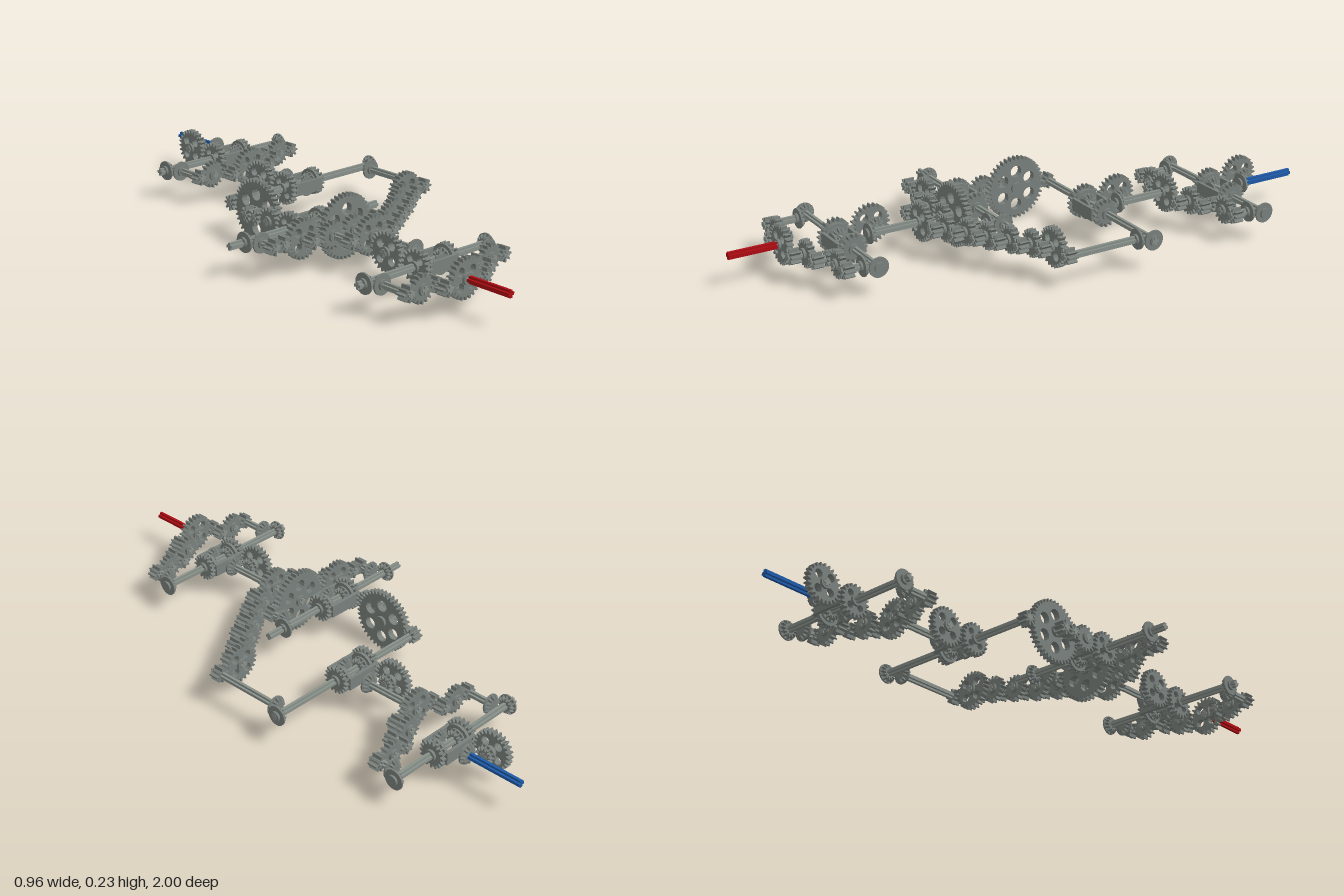
import * as THREE from 'three';

const Y = 0.1125;          // main shaft height
const LOW = 0.1;           // lowered shaft height in the end units
const K = 0.00268;         // pitch radius per tooth
const paint = color => new THREE.MeshStandardMaterial({ color, flatShading: true });
const gearGrey = paint(0x79807c);
const axleGrey = paint(0x88908a);
const red = paint(0xae0c12);
const blue = paint(0x1e5aa8);

function mesh(geo, name, mat = gearGrey) {
  const m = new THREE.Mesh(geo, mat);
  m.name = name;
  return m;
}

// Toothed outline, optionally with round lightening holes
function gearShape(teeth, holes) {
  const s = new THREE.Shape();
  const r = teeth * K, out = r + 0.0055, root = r - 0.0065, step = Math.PI * 2 / teeth;
  for (let i = 0; i < teeth; i++) {
    [[-0.32, root], [-0.13, out], [0.13, out], [0.32, root]].forEach(([f, q], j) => {
      const a = (i + f) * step;
      if (i + j === 0) s.moveTo(q * Math.cos(a), q * Math.sin(a));
      else s.lineTo(q * Math.cos(a), q * Math.sin(a));
    });
  }
  s.closePath();
  for (let i = 0; i < holes; i++) {
    const a = (i + 0.5) * Math.PI * 2 / holes;
    const h = new THREE.Path();
    h.absarc(r * 0.56 * Math.cos(a), r * 0.56 * Math.sin(a), r * (holes > 4 ? 0.2 : 0.24), 0, Math.PI * 2, true);
    s.holes.push(h);
  }
  return s;
}

function extrude(shape, depth) {
  const g = new THREE.ExtrudeGeometry(shape, { depth, bevelEnabled: false, curveSegments: 6 });
  return g.translate(0, 0, -depth / 2);
}

// Turn a local z axis into the wanted direction and move the part there
function place(o, axis, x, y, z) {
  o.rotation.y = { z: 0, '-z': Math.PI, x: Math.PI / 2, '-x': -Math.PI / 2 }[axis];
  o.position.set(x, y, z);
  return o;
}

function disc(r, length, z = 0, name = 'hub') {
  return mesh(new THREE.CylinderGeometry(r, r, length, 20).rotateX(Math.PI / 2).translate(0, 0, z), name);
}

// Spur gear: small ones are wide pinions, larger ones have a hub
function spurGear(teeth) {
  const g = new THREE.Group();
  g.name = 'spurGear' + teeth;
  const holes = teeth >= 40 ? 6 : teeth >= 20 ? 4 : 0;
  g.add(mesh(extrude(gearShape(teeth, holes), teeth === 8 ? 0.036 : 0.022), 'teeth'));
  if (teeth > 8) g.add(disc(0.02, 0.04));
  return g;
}

// Bevel gear: the toothed face narrows toward local +z, with a plain backing disc
function bevelGear() {
  const g = new THREE.Group();
  g.name = 'bevelGear';
  const geo = extrude(gearShape(12, 0), 0.014);
  const p = geo.attributes.position;
  for (let i = 0; i < p.count; i++) {
    const k = p.getZ(i) > 0 ? 0.72 : 0.94;
    p.setXY(i, p.getX(i) * k, p.getY(i) * k);
  }
  geo.computeVertexNormals();
  g.add(mesh(geo, 'teeth'), disc(0.035, 0.006, -0.008, 'backing'), disc(0.018, 0.012, -0.013));
  return g;
}

// Cross-section axle between two coordinates along its axis
function axle(axis, from, to, a, y, mat = axleGrey, name = 'axle') {
  const w = 0.0125, t = 0.0048;
  const pts = [[w, -t], [w, t], [t, t], [t, w], [-t, w], [-t, t], [-w, t], [-w, -t], [-t, -t], [-t, -w], [t, -w], [t, -t]];
  const m = mesh(extrude(new THREE.Shape(pts.map(q => new THREE.Vector2(...q))), Math.abs(to - from)), name, mat);
  const mid = (from + to) / 2;
  return axis === 'z' ? place(m, 'z', a, y, mid) : place(m, 'x', mid, y, a);
}

// Open cage with a gear at each end and bevel gears inside
function differential(cx, y, cz) {
  const g = new THREE.Group();
  g.name = 'differential';
  g.add(place(spurGear(20), 'x', -0.068, 0, 0), place(spurGear(16), 'x', 0.064, 0, 0));
  for (const s of [-1, 1]) {
    const rail = mesh(new THREE.BoxGeometry(0.12, 0.044, 0.012), 'cageRail');
    rail.position.set(0, 0, s * 0.046);
    g.add(rail, place(disc(0.046, 0.012, 0, 'cageEnd'), 'x', s * 0.052, 0, 0));
    g.add(place(bevelGear(), s > 0 ? '-x' : 'x', s * 0.034, 0, 0));
  }
  g.add(place(bevelGear(), '-z', 0, 0, 0.03));
  g.position.set(cx, y, cz);
  return g;
}

// Gear beside the differential, turning a lengthwise shaft through bevels
function transfer(cx, cz) {
  const g = new THREE.Group();
  g.name = 'transfer';
  const z = cz - 0.13;
  g.add(place(spurGear(24), 'x', cx - 0.066, Y, z));
  g.add(axle('x', cx - 0.09, cx - 0.015, z, Y));
  g.add(place(bevelGear(), 'x', cx - 0.024, Y, z));
  g.add(place(bevelGear(), '-z', cx + 0.01, Y, z + 0.036));
  return g;
}

// Right-angle joint from a shaft (running to z1) into a cross axle
function corner(sx, d, y, cz, z1) {
  const g = new THREE.Group();
  g.name = 'corner';
  g.add(place(bevelGear(), '-z', sx, y, cz + 0.033));
  g.add(place(bevelGear(), d > 0 ? '-x' : 'x', sx + d * 0.028, y, cz));
  g.add(axle('z', cz + 0.03, z1, sx, y));
  return g;
}

// Row of gears sharing one plane: [x, teeth, optional lift]
function row(z, y, list) {
  const g = new THREE.Group();
  g.name = 'gearRow';
  for (const [x, teeth, lift = 0] of list) {
    g.add(place(spurGear(teeth), 'z', x, y + lift, z), axle('z', z - 0.024, z + 0.024, x, y + lift));
  }
  return g;
}

// End unit: input gears, two side chains, cross axle and differential
function endUnit() {
  const g = new THREE.Group();
  g.name = 'endUnit';
  g.add(row(0.81, LOW, [[-0.222, 8], [-0.14, 24, Y - LOW], [-0.055, 8]]));
  g.add(row(0.763, LOW, [[-0.34, 8], [-0.28, 16], [-0.222, 8], [-0.055, 16], [0.015, 8]]));
  g.add(row(0.715, LOW, [[0.015, 8], [0.075, 16], [0.135, 8]]));
  g.add(corner(-0.34, -1, LOW, 0.62, 0.77), corner(0.13, 1, LOW, 0.62, 0.72));
  g.add(axle('x', -0.405, 0.165, 0.62, LOW));
  g.add(differential(-0.08, LOW, 0.62), transfer(-0.08, 0.62));
  return g;
}

export function createModel() {
  const model = new THREE.Group();
  model.name = 'gearTrain';

  // Matching end units, front and back
  const front = endUnit(), back = endUnit();
  back.position.set(0.276, 0, -1.32);
  model.add(front, back);

  // Input, output and linking shafts
  model.add(axle('z', 0.79, 1, -0.14, Y, red, 'redShaft'));
  model.add(axle('z', -1, -0.79, 0.206, Y, blue, 'blueShaft'));
  model.add(axle('z', 0.315, 0.53, -0.07, Y), axle('z', -0.53, -0.32, 0.135, Y));

  // Front middle cross axle
  model.add(axle('x', -0.485, 0.165, 0.117, Y), differential(-0.155, Y, 0.117));
  model.add(corner(-0.385, -1, Y, 0.117, 0.22), corner(0.056, 1, Y, 0.117, 0.22));

  // Back middle cross axle
  model.add(axle('x', -0.2, 0.478, -0.225, Y), differential(0.123, Y, -0.225), transfer(0.123, -0.225));
  model.add(corner(0.43, 1, Y, -0.225, 0.085));
  model.add(place(spurGear(8), 'x', -0.18, Y, -0.225));

  // Large side gear stepping down to the front middle differential
  model.add(place(spurGear(40), 'x', -0.18, Y, -0.093), axle('x', -0.24, -0.165, -0.093, Y));
  for (const [z, teeth] of [[-0.093, 8], [-0.05, 8], [0.014, 16]]) {
    model.add(place(spurGear(teeth), 'x', -0.222, Y, z), axle('x', -0.244, -0.2, z, Y));
  }

  // Central gear stack
  model.add(row(0.335, Y, [[-0.165, 8], [-0.072, 24], [0.02, 8]]));
  model.add(row(0.25, Y, [[-0.25, 8], [-0.168, 16], [-0.075, 16]]));
  model.add(row(0.212, Y, [[-0.385, 8], [-0.344, 8], [-0.26, 24], [-0.072, 40], [0.056, 8]]));
  model.add(axle('z', 0.23, 0.355, -0.165, Y));

  // Stepped chain climbing to the back middle axle
  const steps = [[0.293, 0.023], [0.25, 0.087], [0.21, 0.151], [0.163, 0.215], [0.12, 0.279]];
  for (const [z, x] of steps) model.add(row(z, Y, [[x, 16], [x + 0.064, 8]]));
  model.add(row(0.077, Y, [[0.341, 24], [0.43, 8]]));

  return model;
}
